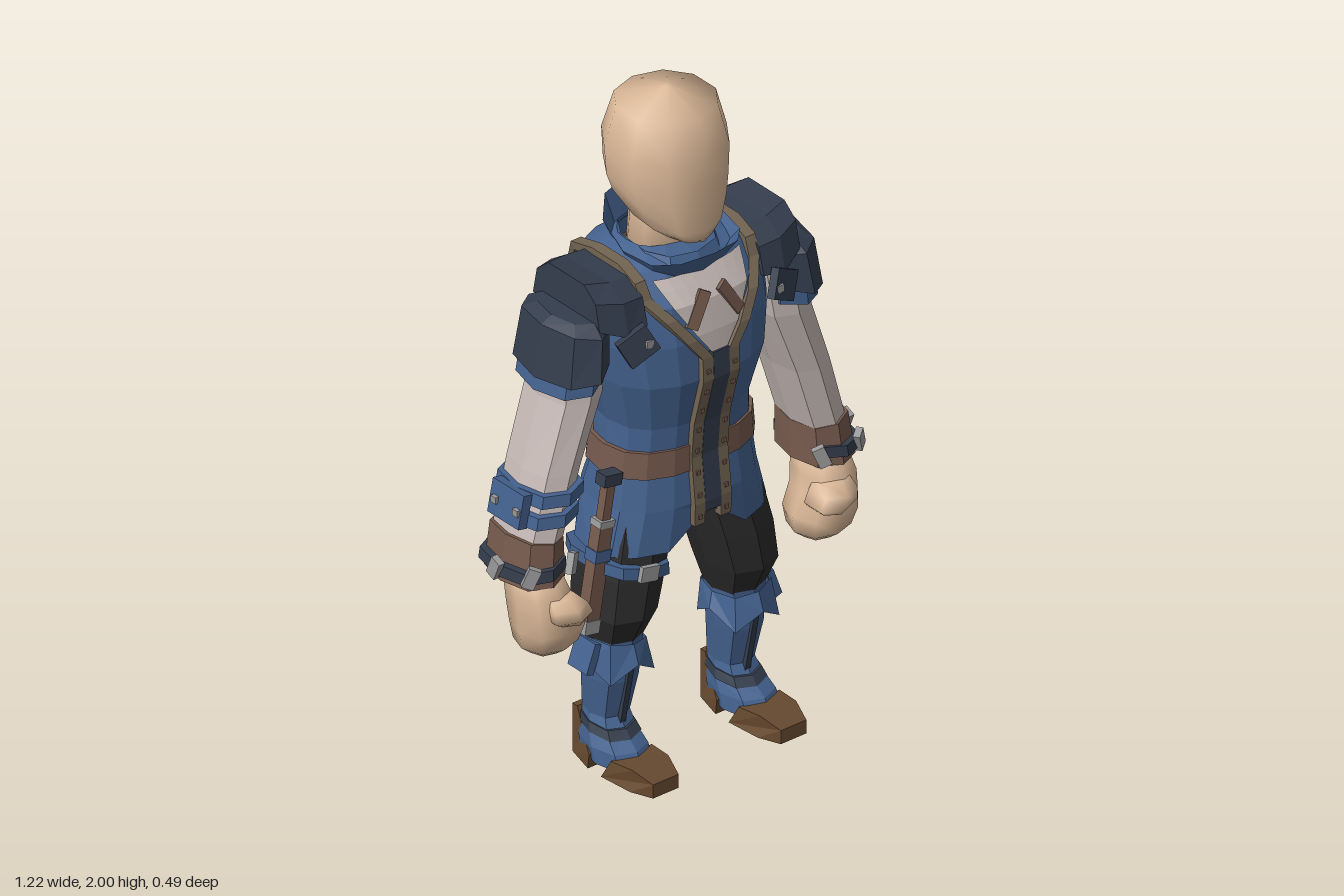
import * as THREE from 'three';
import { mergeVertices } from 'three/addons/utils/BufferGeometryUtils.js';

const BLUE = 0x44628f, SLATE = 0x343d4d, BLACK = 0x2b2b2b, SKIN = 0xd9b797, SHIRT = 0xc6bab6,
  LEATHER = 0x765a4e, TRIM = 0x736553, SOLE = 0x66492f, STEEL = 0x9a9a9c;
const V = (x, y, z) => new THREE.Vector3(x, y, z);

// Joins cross-sections (arrays of points) into a skin, with optional end caps.
function skin(rings, { closed = true, caps = true } = {}) {
  const n = rings[0].length, pos = rings.flat().flatMap(p => [p.x, p.y, p.z]), idx = [];
  for (let i = 0; i < rings.length - 1; i++)
    for (let j = 0; j < (closed ? n : n - 1); j++) {
      const a = i * n + j, b = i * n + (j + 1) % n;
      idx.push(a, b, a + n, b, b + n, a + n);
    }
  if (closed && caps) [0, rings.length - 1].forEach((r, k) => {
    const c = rings[r].reduce((s, p) => s.add(p), V(0, 0, 0)).divideScalar(n), ci = pos.length / 3;
    pos.push(c.x, c.y, c.z);
    for (let j = 0; j < n; j++) {
      const a = r * n + j, b = r * n + (j + 1) % n;
      k ? idx.push(a, b, ci) : idx.push(b, a, ci);
    }
  });
  const g = new THREE.BufferGeometry();
  g.setAttribute('position', new THREE.Float32BufferAttribute(pos, 3));
  g.setIndex(idx);
  return g;
}

// One ring: [centre x, y, half width, front z, back z, tilt to the side, tilt to the front].
// A power of 1 is an ellipse, a smaller one is squarer.
const POWER = 0.8;
function ring([cx, y, hw, zf, zb, tx = 0, tz = 0], n, power = POWER) {
  return Array.from({ length: n }, (_, j) => {
    const a = j / n * Math.PI * 2, f = v => Math.sign(v) * Math.abs(v) ** power;
    const s = f(Math.round(Math.sin(a) * 1e6) / 1e6), c = f(Math.round(Math.cos(a) * 1e6) / 1e6);
    return V(cx + hw * s, y + tx * s + tz * c, (zf + zb) / 2 + (zf - zb) / 2 * c);
  });
}
const loft = (rows, n = 8, opt = {}) => skin(rows.map(r => ring(r, n, opt.power)), opt);

// Turns all faces outward, also after mirroring.
function orient(g) {
  if (!g.index) g = mergeVertices(g);
  g.computeBoundingBox();
  const p = g.attributes.position, ix = g.index.array, c = g.boundingBox.getCenter(V(0, 0, 0));
  const at = i => V(0, 0, 0).fromBufferAttribute(p, i).sub(c);
  let vol = 0;
  for (let i = 0; i < ix.length; i += 3) vol += at(ix[i]).dot(at(ix[i + 1]).cross(at(ix[i + 2])));
  if (vol < 0) for (let i = 0; i < ix.length; i += 3) [ix[i], ix[i + 2]] = [ix[i + 2], ix[i]];
  g.computeVertexNormals();
  return g;
}

// Body outline: y, half width, front z, back z.
const BODY = [[.67, .285, .16, -.17], [.8, .25, .165, -.19], [.94, .225, .15, -.145], [1.05, .22, .16, -.165],
  [1.2, .26, .2, -.22], [1.32, .28, .195, -.243], [1.43, .275, .17, -.235], [1.515, .22, .11, -.2], [1.55, .12, .05, -.14]];
function bodyAt(y) {
  let i = 0;
  while (i < BODY.length - 2 && BODY[i + 1][0] < y) i++;
  const t = (y - BODY[i][0]) / (BODY[i + 1][0] - BODY[i][0]);
  return BODY[i].map((v, k) => THREE.MathUtils.lerp(v, BODY[i + 1][k], t));
}
function onBody(x, y, out = .01, front = true) {
  const [, hw, zf, zb] = bodyAt(y), p = 2 / POWER;
  const k = Math.max(0, 1 - Math.abs(x / hw) ** p) ** (1 / p), d = front ? 1 : -1;
  return V(x, y, (zf + zb) / 2 + d * ((zf - zb) / 2 * k + out));
}
// Thick band along points, widened along one axis and sunk toward the body.
function ribbon(points, width, axis = V(1, 0, 0)) {
  return skin(points.map(p => {
    const inward = V(0, Math.min(p.y, 1.3) - p.y, -.03 - p.z).setLength(.025), w = axis.clone().multiplyScalar(width / 2);
    return [p.clone().sub(w), p.clone().add(w), p.clone().add(w).add(inward), p.clone().sub(w).add(inward)];
  }));
}
function box(w, h, d, x, y, z, rx = 0, ry = 0, rz = 0) {
  const g = new THREE.BoxGeometry(w, h, d);
  g.applyMatrix4(new THREE.Matrix4().makeRotationFromEuler(new THREE.Euler(rx, ry, rz)));
  return g.translate(x, y, z);
}

export function createModel() {
  const root = new THREE.Group();
  root.name = 'adventurer';
  function add(name, geo, color, { mirror = false, smooth = false, open = false } = {}) {
    if (mirror) geo.scale(-1, 1, 1);
    const mat = new THREE.MeshStandardMaterial({ color, flatShading: !smooth, side: open ? THREE.DoubleSide : THREE.FrontSide });
    const m = new THREE.Mesh(orient(geo), mat);
    m.name = name;
    root.add(m);
  }

  // Head and neck
  add('neck', loft([[0, 1.46, .1, .05, -.13], [0, 1.6, .095, .06, -.12], [0, 1.72, .1, .06, -.125]], 10), SKIN, { smooth: true });
  add('head', loft([[0, 1.592, .07, .138, -.06, 0, -.01], [0, 1.63, .118, .147, -.11, 0, -.012], [0, 1.7, .153, .15, -.18, 0, -.01],
    [0, 1.75, .165, .15, -.198], [0, 1.84, .172, .15, -.2], [0, 1.955, .14, .12, -.165], [0, 2, .01, 0, -.02]], 10, { power: .95 }), SKIN, { smooth: true });

  // Tunic with a notched front hem
  const body = BODY.map(r => ring([0, ...r], 16));
  body[0][0].y += .1;
  for (const p of body[0]) if (p.z < -.1) p.y += .03;
  add('tunic', skin(body, { caps: false }), BLUE, { open: true });
  const belt = [.9, .98].map(y => { const [, w, f, b] = bodyAt(y); return [0, y, w + .012, f + .006, b - .012]; });
  add('belt', loft(belt, 16), LEATHER);
  add('pelvis', loft([[0, .72, .17, .1, -.11], [0, .86, .2, .12, -.12]], 10), BLACK);

  // Shirt front and centre panel
  const shirt = [[1.27, .02], [1.34, .07], [1.38, .095], [1.43, .125], [1.47, .14], [1.5, .15]].map(([y, w]) =>
    [-1, -.75, -.5, -.25, 0, .25, .5, .75, 1].map(k => onBody(k * w, y, .008)));
  add('shirtFront', skin(shirt, { closed: false }), SHIRT, { open: true });
  add('centrePanel', ribbon([1.28, 1.2, 1.05, .98, .94, .9, .8, .77].map(y => onBody(0, y, .013)), .055), SLATE);

  // Flared collar, dipping at the sides, over a low scarf
  const collar = [ring([0, 1.49, .125, .12, -.15, 0, -.02], 12), ring([0, 1.605, .17, .18, -.18, 0, -.04], 12)];
  for (const p of collar[1]) p.y -= .05 * (1 - (p.z / .18) ** 2);
  add('collar', skin(collar, { caps: false }), BLUE, { open: true });
  add('scarf', loft([[0, 1.475, .15, .155, -.15, 0, -.025], [0, 1.55, .12, .11, -.15, 0, -.01]], 10, { caps: false }), BLUE, { open: true });
  add('backTrim', ribbon([-.16, -.08, 0, .08, .16].map(x => onBody(x, 1.45, .008, false)), .035, V(0, 1, 0)), TRIM);

  for (const mirror of [false, true]) {
    const side = mirror ? 'right' : 'left', o = { mirror };
    const put = (name, geo, color, extra = {}) => add(side + name, geo, color, { ...o, ...extra });

    // Straps over the shoulder and down the front, with studs
    const front = [[.185, 1.46], [.14, 1.4], [.09, 1.33], [.045, 1.27], [.045, 1.2], [.045, 1.05], [.045, .98], [.045, .94], [.045, .9], [.045, .8], [.045, .735]];
    put('Strap', ribbon([onBody(.165, 1.44, .008, false), V(.185, 1.515, -.175), V(.19, 1.54, -.08), V(.19, 1.54, .03), V(.19, 1.51, .1),
      ...front.map(([x, y]) => onBody(x, y, .013))], .035), TRIM);
    for (let i = 0; i < 8; i++) {
      const p = onBody(.045, .76 + i * .067, .014);
      put('Stud', box(.012, .012, .008, p.x, p.y, p.z), LEATHER);
    }
    put('TieEnd', box(.035, .11, .012, .055, 1.41, .18, -.25, .2, .55), LEATHER);

    // Layered shoulder armour
    const plate = (x, y, zf, zb, low) => [V(x, low, zf), V(x, y - .04, zf * .85), V(x, y, zf * .45), V(x, y, zb * .6), V(x, y - .04, zb * .9), V(x, low, zb)];
    put('ShoulderPlate', skin([plate(.2, 1.52, .145, -.19, 1.4), plate(.27, 1.525, .15, -.195, 1.39), plate(.345, 1.54, .12, -.16, 1.42)]), SLATE);
    put('UpperArmPlate', loft([[.368, 1.285, .092, .155, -.185, -.02], [.352, 1.41, .084, .14, -.17, .01], [.345, 1.44, .06, .1, -.12]], 8, { power: .95 }), SLATE);
    put('ArmPlateLining', loft([[.372, 1.235, .088, .122, -.16, -.01], [.36, 1.33, .08, .125, -.16]], 8, { power: .9 }), BLUE);
    for (const [z, t] of [[.163, 1], [-.2, -1]]) {
      put('ShoulderFlap', box(.095, .085, .025, .25, 1.365, z, -t * .15, t * .3, -.45), SLATE);
      put('ShoulderStud', box(.022, .022, .012, .225, 1.37, z + t * .018), STEEL);
    }

    // Arm
    put('Sleeve', loft([[.49, .79, .07, .1, -.12], [.43, 1, .075, .1, -.125], [.36, 1.2, .083, .1, -.13], [.33, 1.4, .085, .09, -.12]]), SHIRT);
    put('Cuff', loft([[.5, .685, .085, .115, -.128], [.49, .81, .074, .104, -.124, .01]]), LEATHER);
    put('CuffBand', loft([[.508, .712, .092, .125, -.138, -.005], [.506, .745, .09, .122, -.135, -.005]]), SLATE);
    for (const [x, z, a] of [[.43, .107, -.5], [.565, .1, .6], [.602, -.005, 1.57]])
      put('CuffBuckle', box(.035, .06, .02, x, .733, z, 0, a, .4), STEEL);

    // Hand
    put('Hand', loft([[.47, .458, .05, .09, 0], [.47, .485, .083, .125, -.035], [.47, .54, .096, .145, -.042],
      [.488, .6, .078, .138, -.05], [.492, .65, .076, .13, -.055], [.495, .71, .06, .1, -.06]], 8), SKIN, { smooth: true });
    put('Thumb', loft([[.45, .572, .045, .165, .05], [.455, .59, .07, .178, .05], [.465, .625, .062, .175, .05], [.475, .65, .045, .14, .05]], 6), SKIN, { smooth: true });

    // Trousers and boot
    put('Trouser', loft([[.21, .37, .065, .08, -.075], [.208, .48, .098, .135, -.11], [.185, .6, .108, .135, -.125],
      [.16, .7, .11, .125, -.125], [.125, .8, .12, .11, -.12]]), BLACK);
    put('Boot', loft([[.22, .025, .075, .15, -.07], [.22, .07, .076, .125, -.075], [.218, .11, .066, .075, -.077], [.215, .15, .056, .052, -.077],
      [.215, .27, .068, .082, -.075], [.21, .41, .072, .095, -.08]]), BLUE);
    const cuff = [ring([.215, .31, .1, .125, -.088], 8), ring([.215, .395, .082, .105, -.088, .012], 8)];
    cuff[0].forEach((p, j) => { p.y += j % 2 ? -.02 : .03; });
    put('BootCuff', skin(cuff, { caps: false }), BLUE, { open: true });
    put('KneeFlap', box(.025, .09, .08, .31, .36, .015, 0, 0, .35), BLUE);
    put('BootSeam', box(.018, .22, .02, .215, .235, .07, .2), SLATE);
    put('AnkleBand', loft([[.217, .105, .071, .095, -.08, 0, -.01], [.217, .13, .064, .075, -.08, 0, -.01]]), SLATE);

    // Shoe toe and heel, cut from side outlines and narrowed toward both ends and the top
    const outlines = { Toe: [[.07, 0], [.18, 0], [.245, 0], [.245, .042], [.18, .064], [.1, .058]], Heel: [[-.08, 0], [.015, 0], [.02, .045], [-.035, .08], [-.06, .15], [-.08, .15]] };
    for (const [name, pts] of Object.entries(outlines)) {
      const g = new THREE.ExtrudeGeometry(new THREE.Shape(pts.map(([z, y]) => new THREE.Vector2(z, y))), { depth: .16, bevelEnabled: false });
      g.rotateY(-Math.PI / 2).translate(.08, 0, 0);
      const p = g.attributes.position;
      for (let i = 0; i < p.count; i++) {
        const z = p.getZ(i), taper = z > .2 ? .55 : z > .15 ? .88 : z < -.02 ? .68 : 1;
        p.setX(i, p.getX(i) * taper * (z > .05 && p.getY(i) > .05 ? .88 : 1));
      }
      put(name, g.translate(.22, 0, 0), SOLE);
    }
  }

  // Bracer on the right forearm
  for (const y of [.88, .94]) {
    const x = -.465 + (y - .88) * .3;
    add('bracerBand', loft([[x, y - .018, .094, .12, -.138], [x + .005, y + .018, .092, .118, -.136]]), BLUE);
  }
  add('bracerJoin', box(.03, .1, .13, -.548, .91, -.01, 0, 0, -.2), BLUE);
  for (const z of [-.05, .04]) add('bracerStud', box(.02, .02, .02, -.563, .91, z), STEEL);

  // Thigh strap and sheathed dagger on the right hip
  add('thighStrap', loft([[-.19, .605, .122, .15, -.137, -.03], [-.19, .64, .12, .148, -.137, -.03]], 10), BLUE);
  add('thighBuckle', box(.06, .045, .015, -.2, .632, .15, 0, 0, -.2), STEEL);
  const dagger = (name, w, h, d, y, color) =>
    add(name, box(w, h, d, 0, y, 0).rotateZ(-.17).translate(-.3, .7, .06), color);
  dagger('sheath', .045, .3, .04, -.07, LEATHER);
  dagger('sheathTip', .05, .04, .045, -.22, STEEL);
  dagger('sheathBand', .052, .035, .046, -.01, BLUE);
  dagger('daggerGuard', .05, .02, .045, .085, STEEL);
  dagger('daggerGrip', .028, .12, .028, .15, LEATHER);
  dagger('daggerPommel', .06, .035, .04, .215, SLATE);

  // Belt pouches at the back left
  for (const [x, z, a] of [[.185, -.14, 2.35], [.098, -.175, 2.85]]) {
    const part = (name, w, h, d, y, out, color) =>
      add(name, box(w, h, d, 0, y, out).rotateY(a).translate(x, 0, z), color);
    part('pouch', .09, .13, .06, .925, .005, LEATHER);
    part('pouchFlap', .098, .075, .07, .995, .006, BLACK);
    part('pouchClasp', .022, .03, .015, .975, .041, STEEL);
  }
  return root;
}
